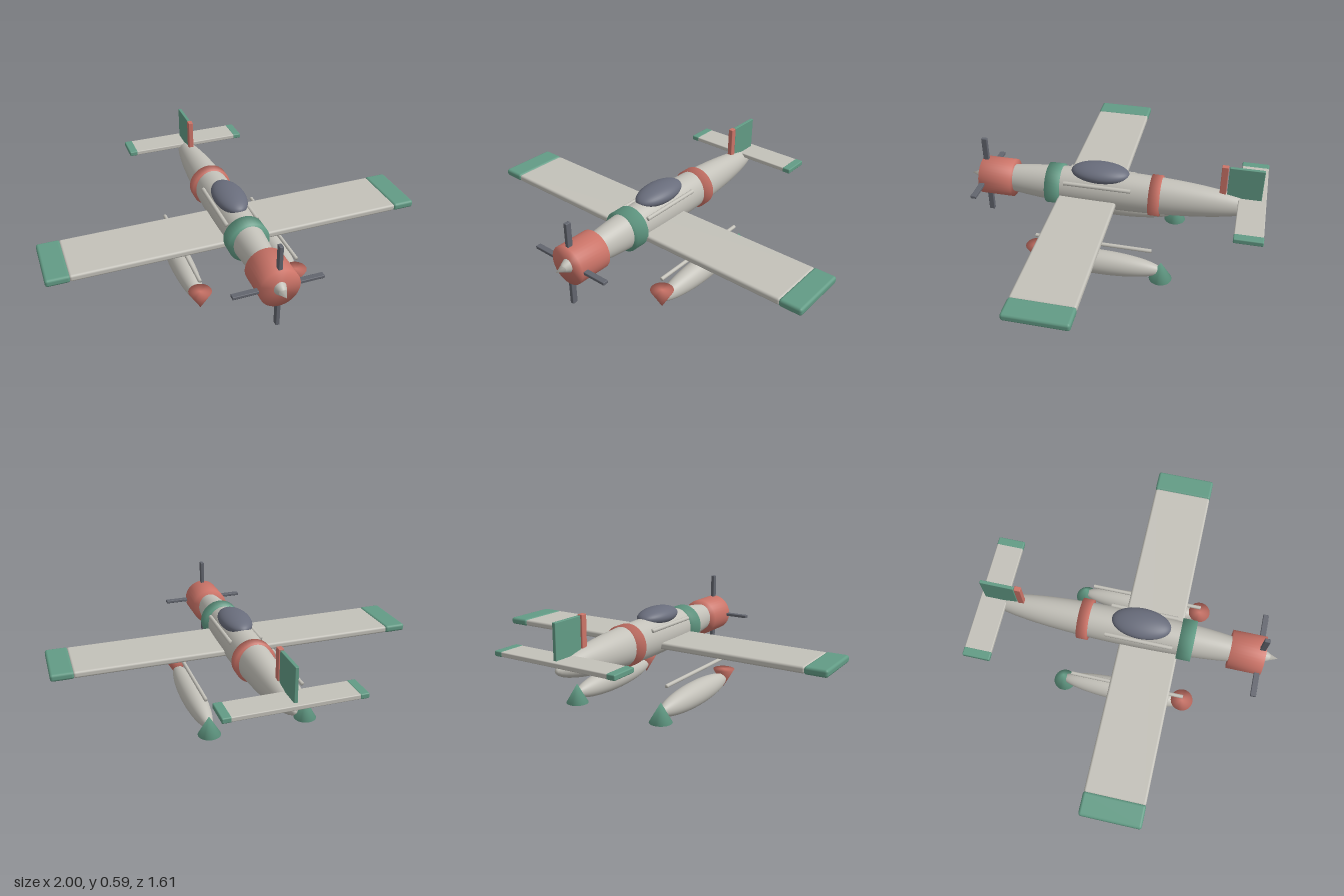
import * as THREE from 'three';
import { mergeVertices } from 'three/addons/utils/BufferGeometryUtils.js';
import { RoundedBoxGeometry } from 'three/addons/geometries/RoundedBoxGeometry.js';

const AXIS_Y = 0.357; // height of the fuselage centre line

export function createModel() {
  const model = new THREE.Group();
  model.name = 'floatplane';

  const paint = (name, color) => {
    const m = new THREE.MeshStandardMaterial({ color });
    m.name = name;
    return m;
  };
  const grey = paint('light grey', 0xc3c1b9);
  const red = paint('coral red', 0xcc7468);
  const green = paint('sea green', 0x629b85);
  const glass = paint('canopy slate', 0x696d7c);
  const dark = paint('propeller grey', 0x62656e);

  const add = (name, geometry, material, x, y, z) => {
    const mesh = new THREE.Mesh(geometry, material);
    mesh.name = name;
    mesh.position.set(x, y, z);
    model.add(mesh);
    return mesh;
  };
  const ellipsoid = (rx, ry, rz) =>
    new THREE.SphereGeometry(1, 40, 28).rotateX(Math.PI / 2).scale(rx, ry, rz);
  const box = (w, h, d, r = 0.003) => new RoundedBoxGeometry(w, h, d, 2, r);
  // Shared vertices give the soft shading across the rims
  const soft = (geometry) => {
    geometry.deleteAttribute('uv');
    geometry.deleteAttribute('normal');
    const merged = mergeVertices(geometry, 1e-4);
    merged.computeVertexNormals();
    return merged;
  };
  // Cylinder or cone lying along z, the first radius facing +z
  const alongZ = (rFront, rBack, length, sides = 40) =>
    soft(new THREE.CylinderGeometry(rFront, rBack, length, sides).rotateX(Math.PI / 2));

  // Fuselage with its two bands, canopy and nose
  add('fuselage', ellipsoid(0.095, 0.11, 0.775), grey, 0, AXIS_Y, 0);
  add('frontBand', alongZ(0.11, 0.11, 0.078), green, 0, AXIS_Y, 0.318);
  add('rearBand', alongZ(0.11, 0.11, 0.058), red, 0, AXIS_Y, -0.232);
  add('canopy', ellipsoid(0.084, 0.049, 0.157), glass, 0, 0.46, 0.071);
  add('cowl', alongZ(0.103, 0.103, 0.18), red, 0, AXIS_Y, 0.64);
  add('spinner', alongZ(0, 0.035, 0.085), grey, 0, AXIS_Y, 0.7625);

  // Propeller: two crossed blades
  add('propellerVertical', box(0.02, 0.46, 0.03), dark, 0, AXIS_Y, 0.71);
  add('propellerHorizontal', box(0.46, 0.016, 0.03), dark, 0, AXIS_Y, 0.71);

  // Wing and tailplane centre panels
  add('wing', box(1.77, 0.036, 0.316, 0.012), grey, 0, 0.32, 0.128);
  add('tailplane', box(0.63, 0.024, 0.143, 0.005), grey, 0, 0.397, -0.733);

  // Fin with its red leading post
  add('fin', box(0.018, 0.19, 0.178), green, 0, 0.49, -0.69);
  add('finPost', box(0.026, 0.185, 0.034), red, 0, 0.4955, -0.579);

  // Mirrored parts
  for (const [side, s] of [['left', 1], ['right', -1]]) {
    add(side + 'WingTip', box(0.12, 0.04, 0.32, 0.014), green, s * 0.94, 0.32, 0.128);
    add(side + 'TailTip', box(0.046, 0.027, 0.146, 0.006), green, s * 0.327, 0.397, -0.733);
    add(side + 'ExhaustPipe', alongZ(0.011, 0.011, 0.36, 16), grey, s * 0.083, 0.418, 0.073);

    // Float, its nose and tail cones, and the rod above it
    const fx = s * 0.265;
    add(side + 'Float', ellipsoid(0.062, 0.068, 0.345), grey, fx, 0.07, 0.027);
    const noseCone = soft(new THREE.ConeGeometry(0.06, 0.105, 32).rotateX(Math.PI));
    add(side + 'FloatNose', noseCone, red, fx, 0.071, 0.36);
    add(side + 'FloatTail', soft(new THREE.ConeGeometry(0.06, 0.105, 32)), green, fx, 0.071, -0.31);
    add(side + 'FloatRod', alongZ(0.01, 0.01, 0.62, 16), grey, fx, 0.192, 0.052);
  }
  return model;
}
